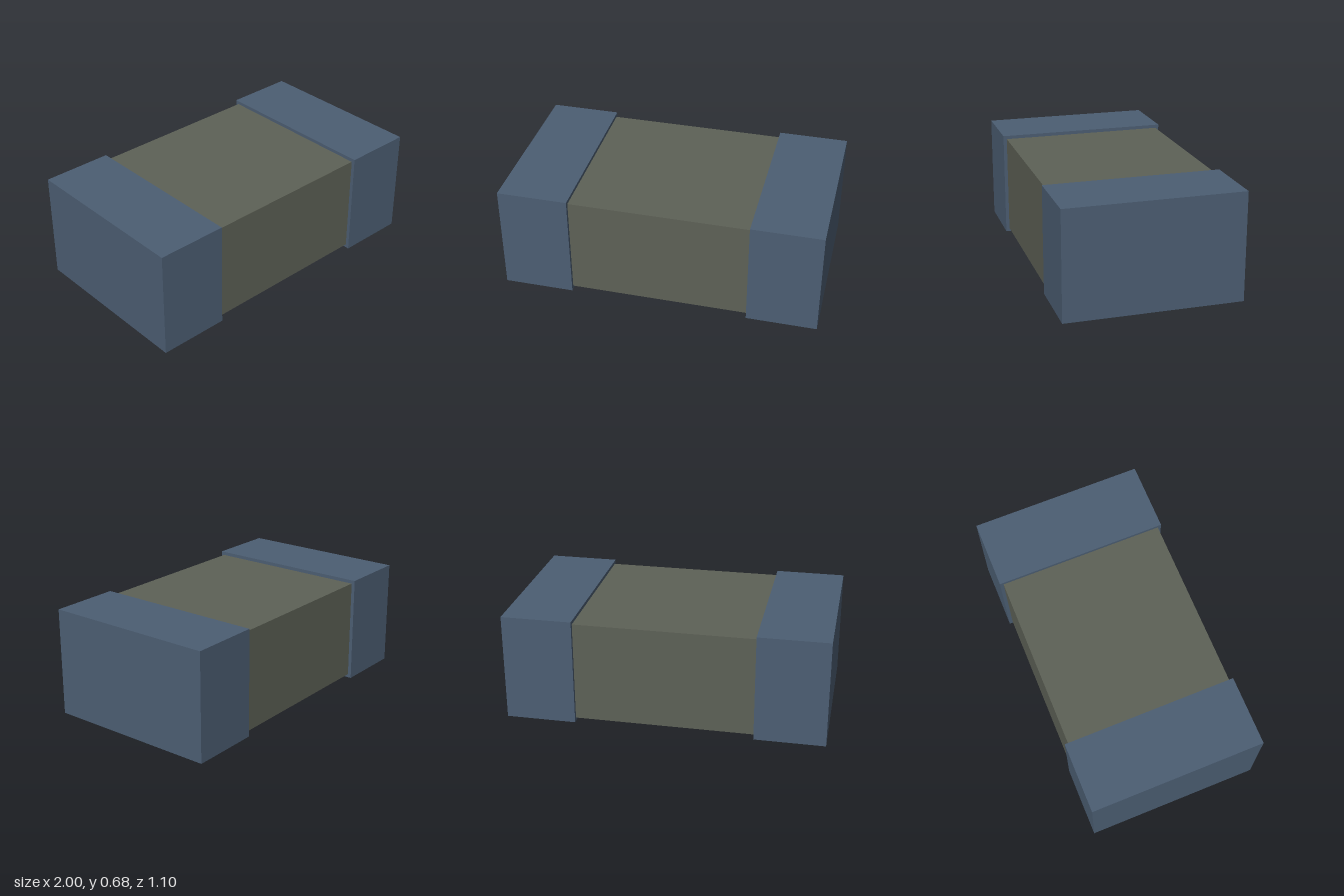
import * as THREE from 'three';

export function createModel() {
  const model = new THREE.Group();
  model.name = 'chipComponent';

  const bodyMaterial = new THREE.MeshStandardMaterial({ color: 0x5d6156 });
  bodyMaterial.name = 'olive grey ceramic';
  const capMaterial = new THREE.MeshStandardMaterial({ color: 0x4c5e73 });
  capMaterial.name = 'blue grey metal';

  const addBox = (name, size, x, material) => {
    const mesh = new THREE.Mesh(new THREE.BoxGeometry(...size), material);
    mesh.name = name;
    mesh.position.set(x, 0.34, 0);
    model.add(mesh);
  };

  // Ceramic body, slightly slimmer than the caps and seated inside them
  addBox('body', [1.14, 0.636, 1.056], 0, bodyMaterial);

  // Metal end caps, mirrored
  for (const side of [-1, 1]) {
    addBox(side > 0 ? 'leftEndCap' : 'rightEndCap', [0.44, 0.68, 1.1], side * 0.78, capMaterial);
  }

  return model;
}
